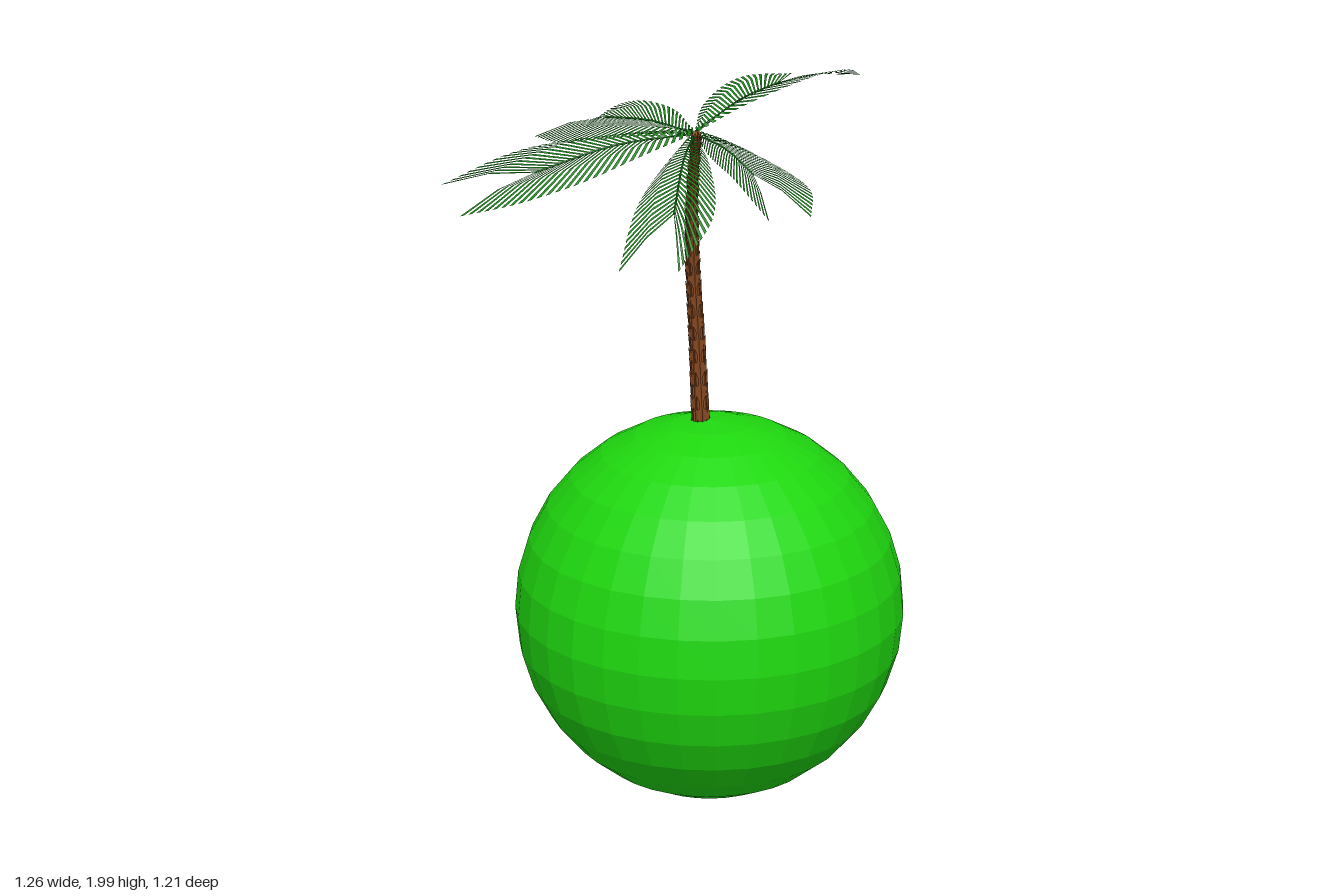
import * as THREE from 'three';
import { mergeGeometries } from 'three/addons/utils/BufferGeometryUtils.js';

const V = (p) => new THREE.Vector3(...p);
const curve = (points) => new THREE.CatmullRomCurve3(points.map(V));
const CROWN = [0.01, 1.895, 0.08];
const LEAFLETS = 27;

// Each frond: midrib, then the outlines traced by the leaflet tips on either side
const FRONDS = [
  { name: 'backLeftFrond',
    rib: [CROWN, [0.17, 1.94, -0.09], [0.32, 1.955, -0.23]],
    edges: [
      [CROWN, [0.08, 1.93, -0.11], [0.24, 1.955, -0.32], [0.43, 1.94, -0.4]],
      [CROWN, [0.16, 1.95, 0.02], [0.38, 1.995, -0.09], [0.5, 1.985, -0.2], [0.56, 1.95, -0.29]]] },
  { name: 'backRightFrond',
    rib: [CROWN, [-0.07, 1.9, -0.08], [-0.155, 1.88, -0.24]],
    edges: [
      [CROWN, [-0.16, 1.86, -0.07], [-0.28, 1.82, -0.23], [-0.31, 1.79, -0.45]],
      [CROWN, [0.01, 1.91, -0.16], [-0.05, 1.89, -0.38], [-0.1, 1.85, -0.47], [-0.15, 1.79, -0.53]]] },
  { name: 'rightFrond',
    rib: [CROWN, [-0.2, 1.88, 0.1], [-0.41, 1.82, 0.1]],
    edges: [
      [CROWN, [-0.2, 1.89, 0.03], [-0.43, 1.85, -0.025], [-0.63, 1.77, -0.03]],
      [CROWN, [-0.15, 1.86, 0.16], [-0.32, 1.81, 0.21], [-0.48, 1.77, 0.22], [-0.61, 1.73, 0.15]]] },
  { name: 'frontRightFrond',
    rib: [CROWN, [-0.06, 1.86, 0.25], [-0.12, 1.77, 0.41]],
    edges: [
      [CROWN, [-0.1, 1.84, 0.2], [-0.2, 1.77, 0.34], [-0.28, 1.66, 0.51]],
      [CROWN, [0.0, 1.85, 0.3], [-0.03, 1.77, 0.45], [-0.14, 1.66, 0.545]]] },
  { name: 'frontLeftFrond',
    rib: [CROWN, [0.05, 1.89, 0.25], [0.08, 1.86, 0.41]],
    edges: [
      [CROWN, [0.0, 1.88, 0.3], [0.02, 1.86, 0.46], [0.07, 1.79, 0.605]],
      [CROWN, [0.1, 1.88, 0.22], [0.18, 1.85, 0.35], [0.215, 1.82, 0.46], [0.19, 1.78, 0.55]]] },
];

// A frond half is a ruled surface between rib and edge, cut into narrow strips
function frondGeometry({ rib, edges }) {
  const ribCurve = curve(rib);
  const position = [];
  for (const edge of edges) {
    const edgeCurve = curve(edge);
    for (let i = 1; i <= LEAFLETS; i++) {
      const t0 = (i - 0.5) / LEAFLETS;
      const t1 = i / LEAFLETS;
      const rows = [0, 0.5, 1].map((s) => [t0, t1].map((t) => {
        const p = ribCurve.getPoint(t).lerp(edgeCurve.getPoint(t), s);
        p.y += 0.012 * Math.sin(Math.PI * s);
        return p;
      }));
      for (let k = 0; k < 2; k++) {
        const [a, b] = rows[k];
        const [c, d] = rows[k + 1];
        for (const p of [a, b, c, b, d, c]) position.push(p.x, p.y, p.z);
      }
    }
  }
  const geometry = new THREE.BufferGeometry();
  geometry.setAttribute('position', new THREE.Float32BufferAttribute(position, 3));
  geometry.computeVertexNormals();
  return geometry;
}

// Tapered trunk core built from rings along the curve
function trunkGeometry(path, radiusAt) {
  const steps = 24;
  const sides = 8;
  const geometry = new THREE.CylinderGeometry(1, 1, 1, sides, steps);
  const position = geometry.attributes.position;
  for (let i = 0; i < position.count; i++) {
    const t = THREE.MathUtils.clamp(position.getY(i) + 0.5, 0, 1);
    const frame = new THREE.Quaternion().setFromUnitVectors(V([0, 1, 0]), path.getTangent(t));
    const p = V([position.getX(i), 0, position.getZ(i)])
      .multiplyScalar(radiusAt(t)).applyQuaternion(frame).add(path.getPoint(t));
    position.setXYZ(i, p.x, p.y, p.z);
  }
  geometry.computeVertexNormals();
  return geometry;
}

// Staggered rings of small pointed scales leaning out from the trunk
function barkGeometry(path, radiusAt) {
  const rings = 30;
  const perRing = 6;
  const scales = [];
  for (let i = 0; i < rings; i++) {
    const t = (i + 0.3) / rings;
    const r = radiusAt(t);
    const frame = new THREE.Quaternion().setFromUnitVectors(V([0, 1, 0]), path.getTangent(t));
    for (let j = 0; j < perRing; j++) {
      const scale = new THREE.ConeGeometry(r * 0.5, 0.04, 4);
      scale.rotateZ(-0.3).translate(r * 0.9, 0, 0);
      scale.rotateY(((j + (i % 2) / 2) / perRing) * Math.PI * 2);
      scale.applyQuaternion(frame).translate(...path.getPoint(t).toArray());
      scales.push(scale);
    }
  }
  return mergeGeometries(scales);
}

export function createModel() {
  const group = new THREE.Group();
  const grass = new THREE.MeshStandardMaterial({ color: 0x1fd80f, flatShading: true });
  const bark = new THREE.MeshStandardMaterial({ color: 0x8a4a22, flatShading: true });
  const leaf = new THREE.MeshStandardMaterial({ color: 0x1c8a1a, flatShading: true, side: THREE.DoubleSide });

  const add = (name, geometry, material, parent = group) => {
    const mesh = new THREE.Mesh(geometry, material);
    mesh.name = name;
    parent.add(mesh);
    return mesh;
  };

  // Round island
  add('globe', new THREE.SphereGeometry(0.536, 32, 16), grass).position.set(0.09, 0.538, -0.07);

  // Leaning trunk with rough bark
  const path = curve([[0.068, 1.05, -0.085], [0.055, 1.3, -0.078], [0.037, 1.53, -0.055],
    [0.022, 1.72, 0.005], [0.01, 1.9, 0.105]]);
  const radiusAt = (t) => THREE.MathUtils.lerp(0.023, 0.012, t);
  const trunk = new THREE.Group();
  trunk.name = 'trunk';
  add('trunkCore', trunkGeometry(path, radiusAt), bark, trunk);
  add('barkScales', barkGeometry(path, radiusAt), bark, trunk);
  group.add(trunk);

  // Crown of fronds
  const crown = new THREE.Group();
  crown.name = 'crown';
  for (const frond of FRONDS) {
    add(frond.name, frondGeometry(frond), leaf, crown);
    add(frond.name + 'Rib', new THREE.TubeGeometry(curve(frond.rib), 10, 0.0025, 4), leaf, crown);
  }
  group.add(crown);
  return group;
}
